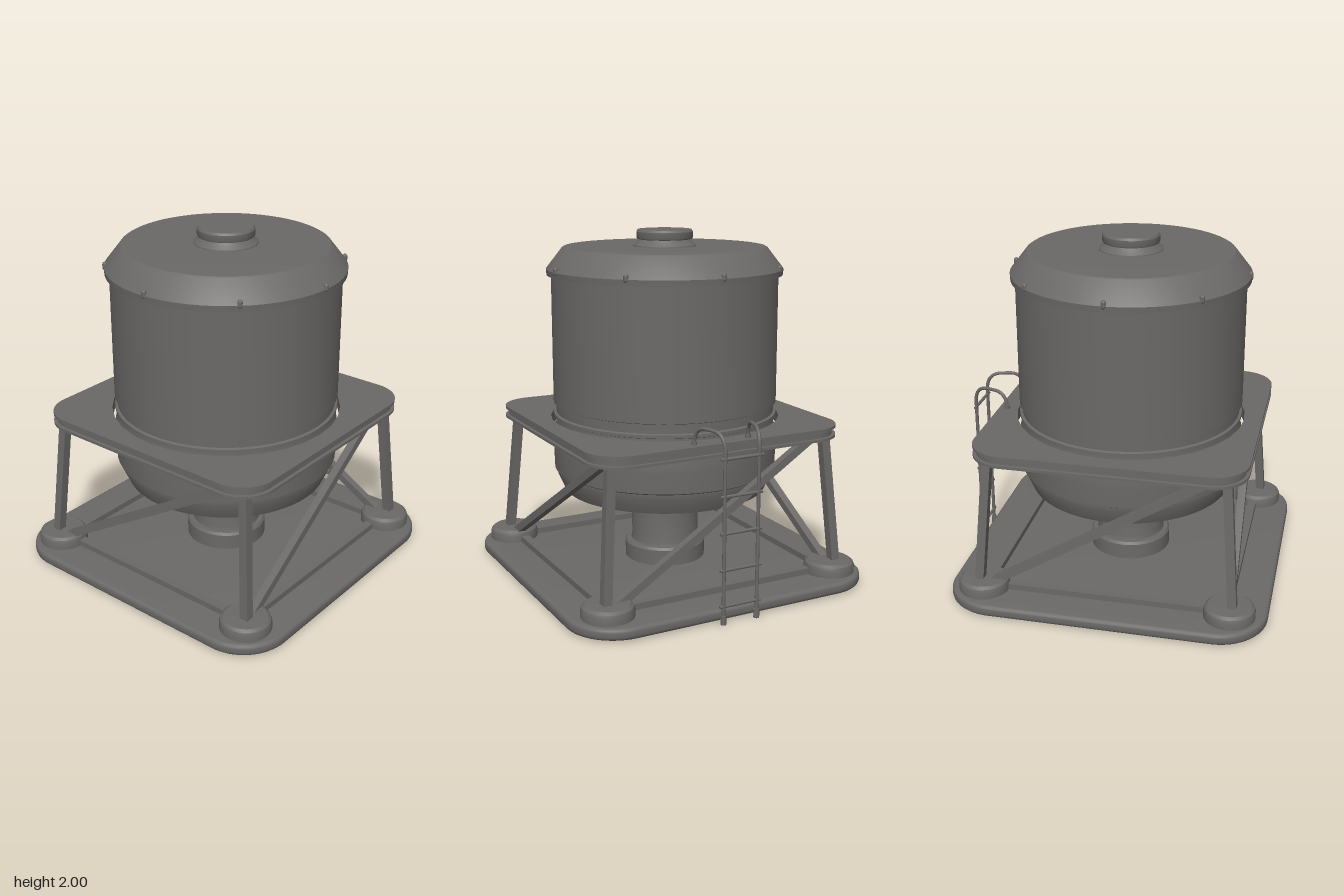
import * as THREE from 'three';
import { toCreasedNormals } from 'three/addons/utils/BufferGeometryUtils.js';

const V = (x, y, z) => new THREE.Vector3(x, y, z);

export function createModel() {
  const steel = new THREE.MeshStandardMaterial({ color: 0x6b6967 });
  steel.name = 'dark grey steel';

  const model = new THREE.Group();
  model.name = 'waterTank';
  const tower = new THREE.Group();
  tower.name = 'tower';
  tower.position.x = -0.02;
  model.add(tower);

  const add = (parent, name, geometry, x = 0, y = 0, z = 0) => {
    const mesh = new THREE.Mesh(geometry, steel);
    mesh.name = name;
    mesh.position.set(x, y, z);
    parent.add(mesh);
    return mesh;
  };

  // Turned part from [radius, height] pairs, bottom to top
  const lathe = (points, segments = 64) => toCreasedNormals(
    new THREE.LatheGeometry(points.map(([r, y]) => new THREE.Vector2(r, y)), segments), 0.5);

  // Horizontal rounded square plate with optional round hole and bevel
  const plate = (half, radius, y0, y1, bevel = 0, hole = 0) => {
    const h = half - bevel, r = radius - bevel, c = h - r;
    const s = new THREE.Shape();
    s.absarc(c, c, r, 0, Math.PI / 2);
    s.absarc(-c, c, r, Math.PI / 2, Math.PI);
    s.absarc(-c, -c, r, Math.PI, Math.PI * 1.5);
    s.absarc(c, -c, r, Math.PI * 1.5, Math.PI * 2);
    s.closePath();
    if (hole) s.holes.push(new THREE.Path().absarc(0, 0, hole, 0, Math.PI * 2, true));
    const g = new THREE.ExtrudeGeometry(s, {
      depth: y1 - y0 - 2 * bevel, bevelEnabled: bevel > 0, bevelSize: bevel,
      bevelThickness: bevel, bevelSegments: 3, curveSegments: 16,
    });
    g.rotateX(-Math.PI / 2).translate(0, y0 + bevel, 0);
    return toCreasedNormals(g, 0.6);
  };

  // Square bar between two points
  const bar = (parent, name, a, b, width) => {
    const d = b.clone().sub(a);
    const mesh = add(parent, name, new THREE.BoxGeometry(width, d.length(), width));
    mesh.position.copy(a).add(b).multiplyScalar(0.5);
    mesh.quaternion.setFromUnitVectors(V(0, 1, 0), d.normalize());
  };

  // Base slab
  add(tower, 'baseSlab', plate(0.905, 0.28, 0.01, 0.075, 0.02));

  // Central pipe with collars
  add(tower, 'centralPipe', lathe([
    [0, 0.07], [0.235, 0.07], [0.235, 0.165], [0.225, 0.18], [0.2, 0.18], [0.195, 0.2],
    [0.195, 0.42], [0.205, 0.435], [0.235, 0.435], [0.235, 0.52], [0, 0.52],
  ], 48));

  // Tank body with stepped lower end
  add(tower, 'tankBody', lathe([
    [0, 0.51], [0.588, 0.51], [0.628, 0.6], [0.63, 0.628], [0.645, 0.637], [0.648, 0.75],
    [0.645, 0.86], [0.632, 0.9], [0.632, 0.94], [0.645, 0.945], [0.645, 0.962], [0.63, 0.967],
    [0.63, 1.018], [0.645, 1.024], [0.645, 1.77], [0, 1.77],
  ]));

  // Roof with chamfered shoulder
  add(tower, 'roof', lathe([
    [0.64, 1.752], [0.67, 1.752], [0.672, 1.785], [0.582, 1.9], [0.572, 1.906], [0, 1.908],
  ]));

  // Filler hatch
  add(tower, 'hatch', lathe([
    [0.18, 1.9], [0.178, 1.913], [0.158, 1.93], [0.145, 1.945], [0.157, 1.948],
    [0.16, 1.955], [0.16, 1.988], [0.152, 2], [0, 2],
  ], 48));

  // Rivets around the roof rim
  for (let i = 0; i < 8; i++) {
    const a = i * Math.PI / 4;
    add(tower, 'roofRivet', new THREE.CapsuleGeometry(0.014, 0.02, 4, 10),
      0.665 * Math.cos(a), 1.792, 0.665 * Math.sin(a));
  }

  // Platform: two flanges and an inset web
  add(tower, 'platformTop', plate(0.765, 0.2, 0.918, 0.935, 0, 0.662));
  add(tower, 'platformWeb', plate(0.745, 0.18, 0.88, 0.918, 0, 0.662));
  add(tower, 'platformBottom', plate(0.765, 0.2, 0.865, 0.88, 0, 0.662));

  // Four identical sides: footing, leg, brace and kerb
  const footing = lathe([[0.143, 0.07], [0.143, 0.115], [0.137, 0.132], [0.12, 0.145], [0, 0.147]], 32);
  for (let i = 0; i < 4; i++) {
    const side = new THREE.Group();
    side.name = 'frameSide';
    side.rotation.y = i * Math.PI / 2;
    tower.add(side);
    add(side, 'footing', footing, 0.7, 0, 0.7);
    bar(side, 'leg', V(0.72, 0.1, 0.72), V(0.66, 0.875, 0.66), 0.05);
    bar(side, 'brace', V(-0.68, 0.1, 0.7), V(0.6, 0.875, 0.65), 0.045);
    add(side, 'kerb', new THREE.BoxGeometry(1.4, 0.04, 0.05), 0, 0.09, 0.68);
  }

  // Ladder with hooked handrails
  const ladder = new THREE.Group();
  ladder.name = 'ladder';
  ladder.position.set(0.91, 0, 0.037);
  model.add(ladder);
  for (const s of [1, -1]) {
    const path = new THREE.CurvePath();
    const straight = V(0, 0.93, s * 0.102);
    path.add(new THREE.LineCurve3(V(0, 0.02, s * 0.102), straight));
    path.add(new THREE.CubicBezierCurve3(straight, V(0, 1, s * 0.102), V(-0.03, 1.034, s * 0.111), V(-0.085, 1.034, s * 0.127)));
    path.add(new THREE.LineCurve3(V(-0.085, 1.034, s * 0.127), V(-0.135, 1.034, s * 0.142)));
    path.add(new THREE.CubicBezierCurve3(V(-0.135, 1.034, s * 0.142), V(-0.185, 1.034, s * 0.156), V(-0.215, 1, s * 0.165), V(-0.215, 0.93, s * 0.165)));
    add(ladder, 'ladderRail', new THREE.TubeGeometry(path, 80, 0.01, 10));
    add(ladder, 'ladderFoot', new THREE.CylinderGeometry(0.016, 0.016, 0.05, 12), 0, 0.025, s * 0.102);
    add(ladder, 'railFlange', new THREE.CylinderGeometry(0.016, 0.016, 0.02, 12), -0.215, 0.945, s * 0.165);
  }
  const rung = new THREE.CylinderGeometry(0.009, 0.009, 0.25, 10).rotateX(Math.PI / 2);
  for (let i = 0; i < 5; i++) add(ladder, 'ladderRung', rung, 0, 0.1 + i * 0.2, 0);

  return model;
}
